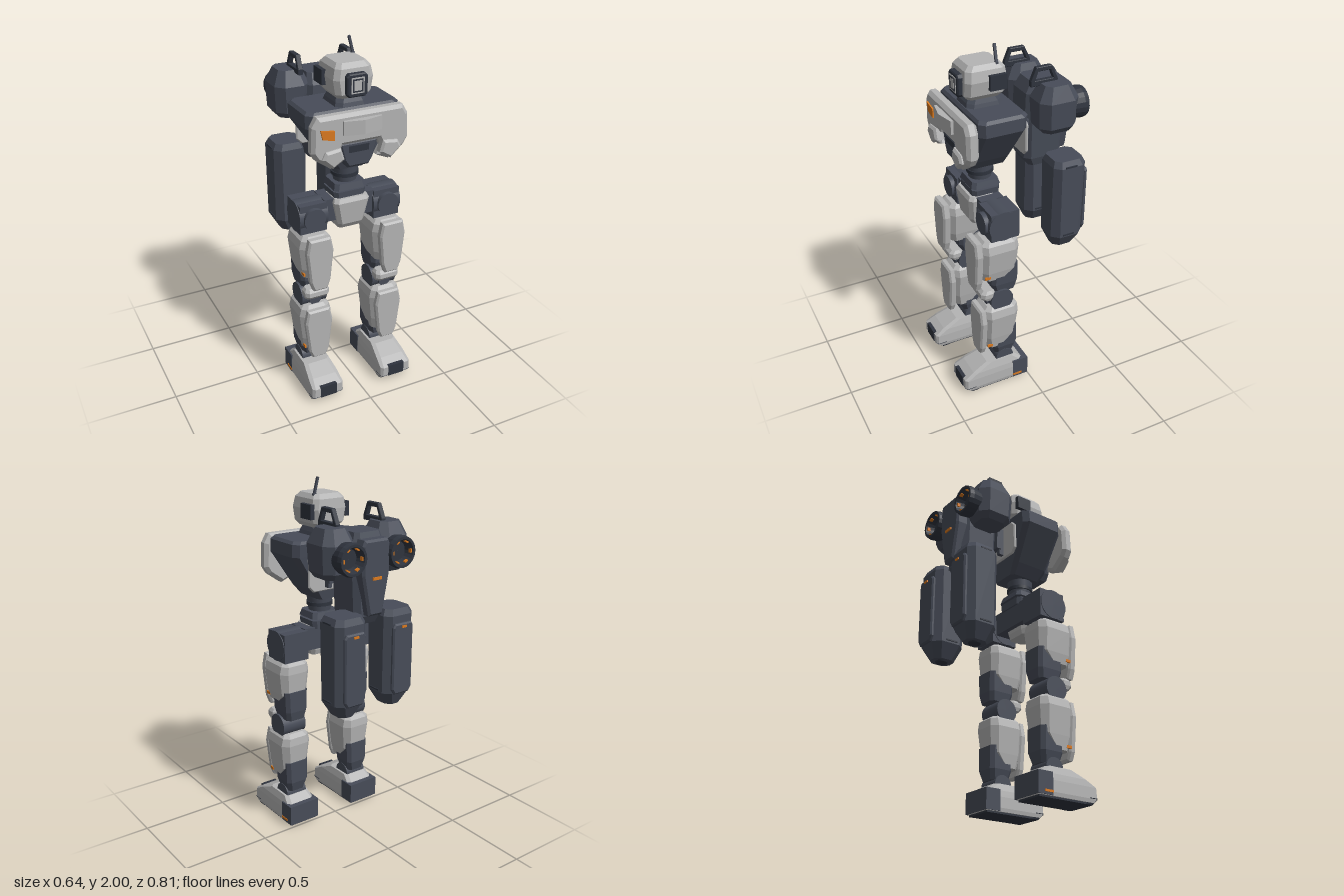
import * as THREE from 'three';

const mat = (name, color, side = THREE.FrontSide) => {
  const m = new THREE.MeshStandardMaterial({ color, side });
  m.name = name;
  return m;
};

export function createModel() {
  const light = mat('light grey armour', 0xb4b4b4);
  const dark = mat('slate frame', 0x474c58);
  const trim = mat('dark trim', 0x2f343e, THREE.DoubleSide);
  const orange = mat('orange marking', 0xd9791f);
  const root = new THREE.Group();
  root.name = 'walkingRobot';

  const add = (parent, name, geo, material, x = 0, y = 0, z = 0) => {
    const m = new THREE.Mesh(geo, material);
    m.name = name;
    m.position.set(x, y, z);
    parent.add(m);
    return m;
  };

  // Box given by its limits
  const box = (parent, name, material, x0, x1, y0, y1, z0, z1) =>
    add(parent, name, new THREE.BoxGeometry(x1 - x0, y1 - y0, z1 - z0), material,
      (x0 + x1) / 2, (y0 + y1) / 2, (z0 + z1) / 2);

  // Faceted stack of chamfered rectangles: [y, halfWidth, zBack, zFront, chamfer]
  const loft = (sections) => {
    const pos = [], idx = [];
    for (const [y, h, b, f, c] of sections) {
      const ring = [[h, f - c], [h, b + c], [h - c, b], [c - h, b], [-h, b + c], [-h, f - c], [c - h, f], [h - c, f]];
      for (const [x, z] of ring) pos.push(x, y, z);
    }
    const top = (sections.length - 1) * 8;
    for (let s = 0; s < top; s += 8) {
      for (let i = 0; i < 8; i++) {
        const j = (i + 1) % 8;
        idx.push(s + i, s + j, s + 8 + j, s + i, s + 8 + j, s + 8 + i);
      }
    }
    for (let i = 1; i < 7; i++) idx.push(0, i + 1, i, top, top + i, top + i + 1);
    const g = new THREE.BufferGeometry();
    g.setAttribute('position', new THREE.Float32BufferAttribute(pos, 3));
    g.setIndex(idx);
    const flat = g.toNonIndexed();
    flat.computeVertexNormals();
    return flat;
  };

  // Bevelled plate from an outline in x, y between two depths
  const plate = (pts, z0, z1, bevel = 0.01, hole = null) => {
    const shape = new THREE.Shape(pts.map(p => new THREE.Vector2(...p)));
    if (hole) shape.holes.push(new THREE.Path(hole.map(p => new THREE.Vector2(...p))));
    const g = new THREE.ExtrudeGeometry(shape, {
      depth: z1 - z0 - 2 * bevel, bevelEnabled: bevel > 0, bevelThickness: bevel,
      bevelSize: bevel, bevelOffset: -bevel, bevelSegments: 1
    });
    return g.translate(0, 0, z0 + bevel);
  };
  const mirrored = half => [...half, ...half.map(([x, y]) => [-x, y]).reverse()];
  const cylX = (r, len, n = 28) => new THREE.CylinderGeometry(r, r, len, n).rotateZ(Math.PI / 2);
  const cylZ = (r, len, n = 28) => new THREE.CylinderGeometry(r, r, len, n).rotateX(Math.PI / 2);

  // Head
  const head = new THREE.Group();
  head.name = 'head';
  root.add(head);
  add(head, 'helmet', loft([[1.73, 0.08, 0.06, 0.24, 0.02], [1.755, 0.1, 0.035, 0.262, 0.025],
    [1.83, 0.112, 0.03, 0.262, 0.025], [1.885, 0.1, 0.035, 0.255, 0.025], [1.91, 0.08, 0.06, 0.23, 0.02]]), light);
  add(head, 'visorFrame', plate(mirrored([[0.045, 1.745], [0.058, 1.76], [0.058, 1.85], [0.045, 1.865]]), 0.25, 0.288, 0.006), trim);
  box(head, 'visorRim', light, -0.036, 0.036, 1.765, 1.847, 0.284, 0.291);
  box(head, 'visorInset', trim, -0.029, 0.029, 1.772, 1.84, 0.286, 0.292);
  box(head, 'visorLens', light, -0.021, 0.021, 1.78, 1.832, 0.288, 0.293);
  for (const s of [1, -1]) box(head, 'earPanel', trim, s * 0.115 - 0.013, s * 0.115 + 0.013, 1.78, 1.86, 0.047, 0.14);
  const antenna = add(head, 'antenna', new THREE.BoxGeometry(0.012, 0.1, 0.014), dark, 0.066, 1.95, 0.083);
  antenna.rotation.z = 0.257;
  box(head, 'antennaBase', dark, 0.065, 0.087, 1.89, 1.912, 0.075, 0.09);
  add(head, 'neck', loft([[1.67, 0.095, 0.04, 0.25, 0.03], [1.705, 0.085, 0.05, 0.24, 0.03], [1.745, 0.07, 0.07, 0.22, 0.03]]), dark);

  // Torso and waist
  const torso = new THREE.Group();
  torso.name = 'torso';
  root.add(torso);
  add(torso, 'chestBody', loft([[1.34, 0.085, 0.03, 0.23, 0.02], [1.4, 0.13, 0.02, 0.255, 0.025],
    [1.6, 0.265, -0.005, 0.262, 0.03], [1.67, 0.265, -0.012, 0.262, 0.03], [1.685, 0.25, 0, 0.25, 0.03]]), dark);
  add(torso, 'chestPlate', plate(mirrored([[0.1, 1.52], [0.12, 1.475], [0.095, 1.43], [0.165, 1.4],
    [0.25, 1.46], [0.275, 1.5], [0.27, 1.635], [0.24, 1.685]]), 0.27, 0.338, 0.018), light);
  add(torso, 'abdomenPlate', plate(mirrored([[0.06, 1.38], [0.085, 1.42], [0.11, 1.52]]), 0.23, 0.312, 0.012), dark);
  box(torso, 'abdomenVent', trim, -0.055, 0.055, 1.465, 1.5, 0.309, 0.317);
  // Chevron vent: a flat plate whose middle is pulled forward
  const chevron = new THREE.BoxGeometry(0.215, 0.075, 0.03, 2, 1, 1).toNonIndexed();
  const cp = chevron.attributes.position;
  for (let i = 0; i < cp.count; i++) if (Math.abs(cp.getX(i)) < 0.01 && cp.getZ(i) > 0) cp.setZ(i, 0.037);
  chevron.computeVertexNormals();
  add(torso, 'chestChevron', chevron, light, 0, 1.617, 0.338);
  for (const s of [1, -1]) {
    const flap = [[0.1, 1.45], [0.165, 1.41], [0.225, 1.465], [0.205, 1.505], [0.12, 1.515]].map(([x, y]) => [s * x, y]);
    add(torso, 'ribFlap', plate(s > 0 ? flap : flap.reverse(), 0.3, 0.357, 0.012), light);
  }
  add(torso, 'chestBadge', plate([[-0.22, 1.575], [-0.155, 1.56], [-0.155, 1.612], [-0.232, 1.625]], 0.337, 0.346, 0), orange);
  add(torso, 'waistJoint', new THREE.CylinderGeometry(0.075, 0.06, 0.12, 24), dark, 0, 1.285, 0.15);
  add(torso, 'waistCollar', new THREE.CylinderGeometry(0.075, 0.075, 0.02, 24), trim, 0, 1.29, 0.15);
  add(torso, 'waistUpperBlock', loft([[1.215, 0.095, 0.065, 0.235, 0.02], [1.25, 0.085, 0.075, 0.225, 0.02]]), dark);
  add(torso, 'waistLowerBlock', loft([[1.16, 0.09, 0.07, 0.23, 0.02], [1.205, 0.095, 0.07, 0.23, 0.02]]), dark);
  box(torso, 'pelvis', dark, -0.15, 0.15, 1.04, 1.17, 0.08, 0.215);
  add(torso, 'pelvisGuard', loft([[0.99, 0.07, 0.12, 0.225, 0.015], [1.02, 0.078, 0.11, 0.245, 0.02],
    [1.15, 0.105, 0.1, 0.257, 0.02], [1.172, 0.095, 0.1, 0.245, 0.02]]), light);

  // Backpack
  const pack = new THREE.Group();
  pack.name = 'backpack';
  root.add(pack);
  add(pack, 'mountPlate', plate(mirrored([[0.17, 1.41], [0.2, 1.44], [0.2, 1.59], [0.17, 1.62]]), -0.04, -0.022, 0.006), light);
  box(pack, 'mountBar', dark, -0.105, 0.105, 1.46, 1.57, -0.092, -0.062);
  add(pack, 'packBody', loft([[1.27, 0.075, -0.28, -0.12, 0.02], [1.32, 0.09, -0.31, -0.088, 0.03],
    [1.54, 0.1, -0.31, -0.085, 0.03], [1.7, 0.1, -0.31, -0.09, 0.03], [1.76, 0.08, -0.29, -0.125, 0.02]]), dark);
  add(pack, 'packSpine', plate(mirrored([[0.045, 1.33], [0.088, 1.55], [0.088, 1.7], [0.075, 1.73]]), -0.358, -0.28, 0.012), dark);
  box(pack, 'spineMark', orange, -0.028, 0.028, 1.522, 1.537, -0.365, -0.356);

  for (const s of [1, -1]) {
    box(pack, 'mountPost', dark, s * 0.085 - 0.012, s * 0.085 + 0.012, 1.43, 1.6, -0.07, -0.035);
    add(pack, 'enginePod', loft([[1.53, 0.065, -0.28, -0.12, 0.03], [1.565, 0.092, -0.305, -0.09, 0.045],
      [1.71, 0.1, -0.31, -0.083, 0.045], [1.79, 0.065, -0.27, -0.125, 0.03]]), dark, s * 0.176);
    // Thruster: open flared bell with an inner ring of markings
    const bell = [[0.001, 0.05], [0.052, 0.05], [0.068, 0.1], [0.082, 0.1], [0.088, 0.075], [0.08, 0]].map(p => new THREE.Vector2(...p));
    const creased = new THREE.LatheGeometry(bell, 20).rotateX(-Math.PI / 2).toNonIndexed();
    creased.computeVertexNormals();
    add(pack, 'thruster', creased, trim, s * 0.16, 1.645, -0.275);
    for (let i = 0; i < 6; i++) {
      const a = i * Math.PI / 3;
      const tab = add(pack, 'thrusterMark', new THREE.BoxGeometry(0.02, 0.008, 0.018), orange,
        s * 0.16 + 0.059 * Math.cos(a), 1.645 + 0.059 * Math.sin(a), -0.36);
      tab.rotation.z = a + Math.PI / 2;
    }
    // Carry handle: side outline with an opening
    const handle = plate([[-0.225, 1.775], [-0.07, 1.775], [-0.07, 1.805], [-0.1, 1.876], [-0.188, 1.876], [-0.225, 1.8]],
      0, 0.028, 0.003, [[-0.2, 1.805], [-0.18, 1.853], [-0.11, 1.853], [-0.093, 1.805]]);
    add(pack, 'carryHandle', handle.rotateY(-Math.PI / 2), trim, s * 0.149 + 0.014);

    // Hanging booster
    const booster = new THREE.Group();
    booster.name = s > 0 ? 'leftBooster' : 'rightBooster';
    booster.position.x = s * 0.16;
    pack.add(booster);
    add(booster, 'boosterShell', loft([[0.79, 0.05, -0.34, -0.215, 0.03], [0.87, 0.095, -0.378, -0.183, 0.04],
      [1.31, 0.098, -0.378, -0.183, 0.035], [1.345, 0.08, -0.362, -0.197, 0.03]]), dark);
    add(booster, 'boosterPanel', plate(mirrored([[0.05, 0.87], [0.068, 0.9], [0.068, 1.25], [0.055, 1.27]]), -0.396, -0.37, 0.008), dark);
    box(booster, 'boosterMark', orange, -0.015, 0.015, 1.246, 1.258, -0.402, -0.394);
    add(booster, 'boosterTip', new THREE.CylinderGeometry(0.04, 0.032, 0.015, 16), trim, 0, 0.791, -0.278);
    for (const y of [0.88, 1.31]) box(booster, 'boosterSlot', trim, -0.1, 0.1, y, y + 0.008, -0.31, -0.24);
  }

  // Legs
  for (const s of [1, -1]) {
    const leg = new THREE.Group();
    leg.name = s > 0 ? 'leftLeg' : 'rightLeg';
    leg.position.x = s * 0.22;
    root.add(leg);
    box(leg, 'hipBlock', dark, -0.078, 0.078, 1.0, 1.165, 0.06, 0.225);
    add(leg, 'hipDrum', cylX(0.087, 0.165), dark, 0, 1.085, 0.15);
    add(leg, 'hipFrontCap', cylZ(0.062, 0.1), dark, 0, 1.085, 0.2);
    add(leg, 'thighArmour', loft([[0.745, 0.07, 0.13, 0.262, 0.025], [0.8, 0.082, 0.065, 0.275, 0.03],
      [0.93, 0.096, 0.055, 0.28, 0.035], [0.975, 0.085, 0.06, 0.275, 0.03], [0.995, 0.065, 0.085, 0.25, 0.02]]), light);
    add(leg, 'thighPlate', plate(mirrored([[0.04, 0.685], [0.06, 0.74], [0.078, 0.92], [0.062, 1.0]]), 0.268, 0.315, 0.01), light);
    add(leg, 'thighFrame', loft([[0.645, 0.06, 0.065, 0.2, 0.02], [0.7, 0.07, 0.055, 0.215, 0.02],
      [0.82, 0.074, 0.055, 0.215, 0.02]]), dark);
    add(leg, 'kneeDrum', cylX(0.068, 0.15), dark, 0, 0.595, 0.16);
    add(leg, 'kneeFrontCap', cylZ(0.036, 0.05), dark, 0, 0.585, 0.21);
    add(leg, 'kneeCap', loft([[0.61, 0.065, 0.2, 0.265, 0.015], [0.63, 0.072, 0.195, 0.282, 0.02],
      [0.655, 0.072, 0.195, 0.28, 0.02], [0.672, 0.06, 0.205, 0.26, 0.015]]), light);
    add(leg, 'shinArmour', loft([[0.265, 0.068, 0.14, 0.245, 0.025], [0.34, 0.08, 0.07, 0.262, 0.03],
      [0.49, 0.096, 0.055, 0.268, 0.035], [0.535, 0.085, 0.06, 0.262, 0.03], [0.555, 0.065, 0.085, 0.24, 0.02]]), light);
    add(leg, 'shinPlate', plate(mirrored([[0.04, 0.225], [0.06, 0.27], [0.082, 0.46], [0.065, 0.54]]), 0.25, 0.292, 0.01), light);
    add(leg, 'calfFrame', loft([[0.19, 0.055, 0.075, 0.19, 0.02], [0.25, 0.07, 0.06, 0.205, 0.02],
      [0.38, 0.074, 0.06, 0.205, 0.02]]), dark);
    // Outer armour markings
    for (const [x, y, z] of [[0.074, 0.772, 0.247], [0.07, 0.288, 0.235]])
      box(leg, 'armourMark', orange, s * x - 0.004, s * x + 0.004, y - 0.008, y + 0.008, z - 0.016, z + 0.016);

    // Foot
    add(leg, 'ankle', cylX(0.055, 0.13), dark, 0, 0.165, 0.14);
    add(leg, 'footShell', loft([[0.01, 0.092, 0.01, 0.38, 0.01], [0.03, 0.096, 0.01, 0.403, 0.012],
      [0.09, 0.095, 0.012, 0.403, 0.015], [0.125, 0.09, 0.03, 0.345, 0.02], [0.165, 0.078, 0.08, 0.255, 0.02]]), light);
    box(leg, 'heel', dark, -0.097, 0.097, 0.012, 0.13, 0.005, 0.1);
    box(leg, 'toePlate', trim, -0.05, 0.05, 0.03, 0.1, 0.385, 0.407);
    add(leg, 'toeSole', loft([[0, 0.088, 0.31, 0.37, 0.01], [0.035, 0.097, 0.33, 0.405, 0.012]]), trim);
    box(leg, 'sole', trim, -0.085, 0.085, 0, 0.012, 0.02, 0.33);
    box(leg, 'heelMark', orange, s * 0.097 - 0.003, s * 0.097 + 0.003, 0.025, 0.037, 0.045, 0.1);
  }
  return root;
}
